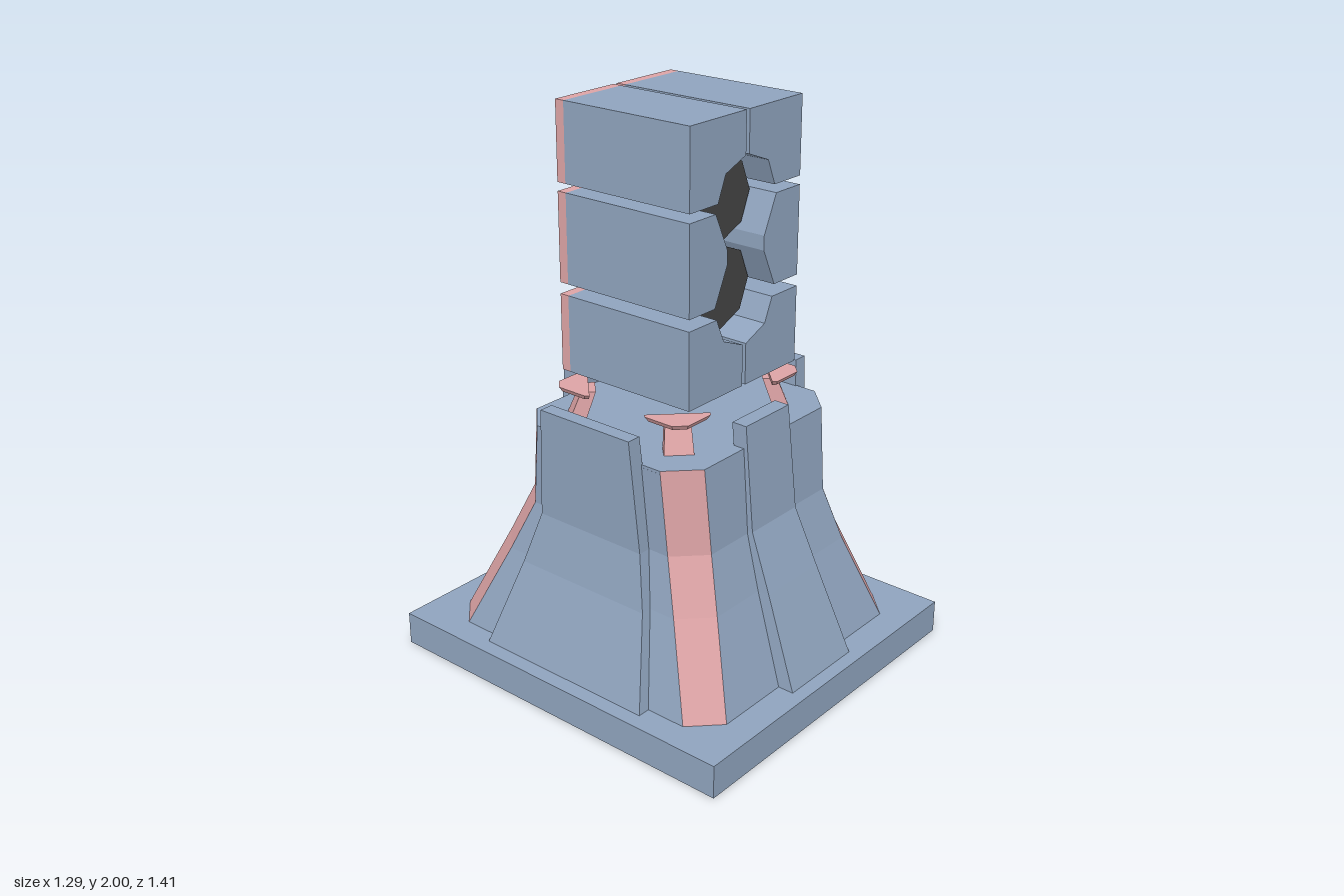
import * as THREE from 'three';

const mat = (color) => new THREE.MeshStandardMaterial({ color, flatShading: true, side: THREE.DoubleSide });

// Joins rings of [x, y, z] (counterclockwise from above) with walls; keep() picks the walls
function loft(rings, keep = () => true, caps = true) {
  const pos = [], n = rings[0].length;
  const tri = (...p) => p.forEach((q) => pos.push(...q));
  for (let r = 0; r < rings.length - 1; r++) {
    for (let i = 0; i < n; i++) {
      if (!keep(i)) continue;
      const j = (i + 1) % n, a = rings[r], b = rings[r + 1];
      tri(a[i], a[j], b[j]);
      tri(a[i], b[j], b[i]);
    }
  }
  if (caps) {
    const lo = rings[0], hi = rings[rings.length - 1];
    for (let i = 1; i < n - 1; i++) {
      tri(hi[0], hi[i], hi[i + 1]);
      tri(lo[0], lo[i + 1], lo[i]);
    }
  }
  const g = new THREE.BufferGeometry();
  g.setAttribute('position', new THREE.Float32BufferAttribute(pos, 3));
  g.computeVertexNormals();
  return g;
}

// Moves every edge of a counterclockwise outline inward by d
function inset(pts, d) {
  const n = pts.length;
  const line = (i) => {
    const a = pts[(i + n) % n], b = pts[(i + 1) % n];
    const t = b.clone().sub(a).normalize();
    return { p: new THREE.Vector2(a.x - t.y * d, a.y + t.x * d), t };
  };
  return pts.map((_, i) => {
    const A = line(i - 1), B = line(i);
    const s = B.p.clone().sub(A.p).cross(B.t) / A.t.cross(B.t);
    return A.p.clone().addScaledVector(A.t, s);
  });
}

export function createModel() {
  const model = new THREE.Group();
  const blue = mat(0x8fa3bd), pink = mat(0xdca3a5), dark = mat(0x444444);
  const add = (name, geo, material, parent = model) => {
    const m = new THREE.Mesh(geo, material);
    m.name = name;
    parent.add(m);
    return m;
  };

  // Base slab, open underneath
  const base = new THREE.BoxGeometry(1.29, 0.12, 1.41);
  const idx = Array.from(base.index.array);
  idx.splice(18, 6);
  base.setIndex(idx);
  base.clearGroups();
  add('base', base.translate(0, 0.06, 0), blue);

  // Flared pedestal with chamfered corners: y, half width, front z, back z
  const c = 0.1;
  const rings = [
    [0.12, 0.545, 0.597, -0.597], [0.43, 0.452, 0.48, -0.46],
    [0.62, 0.41, 0.42, -0.375], [0.92, 0.418, 0.395, -0.345],
  ].map(([y, x, f, b]) => [
    [c - x, y, f], [x - c, y, f], [x, y, f - c], [x, y, b + c],
    [x - c, y, b], [c - x, y, b], [-x, y, b + c], [-x, y, f - c],
  ]);
  add('pedestalWalls', loft(rings, (i) => i % 2 === 0, false), blue);
  add('pedestalCorners', loft(rings, (i) => i % 2 === 1, false), pink);
  add('pedestalTop', loft([rings[3].map(([x, y, z]) => [x, y - 0.01, z]), rings[3]], () => false), blue);

  // Raised panels on the four walls: y, outer, inner, half width, sideways shift
  const panel = (name, rows, place) => add(name, loft(rows.map(([y, out, inn, w, s = 0]) =>
    [[-w, out], [w, out], [w, inn], [-w, inn]].map(([u, r]) => {
      const [x, z] = place(u, r, s);
      return [x, y, z];
    }))), blue);
  panel('frontPanel', [[0.1, 0.663, 0.6, 0.167], [0.43, 0.525, 0.45, 0.135], [0.63, 0.44, 0.385, 0.12],
    [1.0, 0.402, 0.345, 0.115]], (u, r) => [u, r]);
  panel('backPanel', [[0.1, 0.663, 0.6, 0.167], [0.43, 0.51, 0.44, 0.135], [0.63, 0.435, 0.36, 0.12],
    [1.0, 0.405, 0.345, 0.115]], (u, r) => [-u, -r]);
  const sideRows = [[0.1, 0.596, 0.54, 0.355], [0.43, 0.49, 0.43, 0.27, 0.01],
    [0.62, 0.455, 0.395, 0.22, 0.02], [1.015, 0.47, 0.418, 0.192, 0.018]];
  panel('leftPanel', sideRows, (u, r, s) => [r, s - u]);
  panel('rightPanel', sideRows, (u, r, s) => [-r, s + u]);

  // Four corner brackets: slanted post and chamfered plate, turned to the corner
  const plateRing = (y, k) => [[-0.082, 0.07], [-0.07, 0.082], [0.045, 0.082], [0.082, 0.045],
    [0.082, -0.07], [0.07, -0.082]].map(([x, z]) => [x * k, y, z * k]);
  const postRing = (y, o, w, d) => [[-w, d], [w, d], [w, -d], [-w, -d]].map(([u, r]) =>
    [o + (r + u) * Math.SQRT1_2, y, o + (r - u) * Math.SQRT1_2]);
  for (const sx of [1, -1]) {
    for (const [sz, z] of [[1, 0.225], [-1, -0.178]]) {
      const bracket = new THREE.Group();
      bracket.name = 'cornerBracket';
      add('bracketPost', loft([postRing(0.91, 0.025, 0.05, 0.028), postRing(1.022, -0.005, 0.042, 0.025)]), pink, bracket);
      add('bracketPlate', loft([plateRing(1.02, 0.88), plateRing(1.037, 1)]), pink, bracket);
      bracket.position.set(sx * 0.248, 0, z);
      bracket.scale.set(sx, 1, sz);
      model.add(bracket);
    }
  }

  // Tower blocks cut around the two tubes, with rimmed recesses at the back
  const blocks = {
    upper: [[0.008, 2], [0.008, 1.857], [0.108, 1.818], [0.145, 1.73], [0.282, 1.73], [0.282, 2]],
    middle: [[0.155, 1.7], [0.095, 1.57], [0.095, 1.52], [0.155, 1.39], [0.282, 1.39], [0.282, 1.7]],
    lower: [[0.008, 1.225], [0.008, 1.08], [0.282, 1.08], [0.282, 1.35], [0.145, 1.35], [0.108, 1.266]],
  };
  const extrude = (shape, depth, z) =>
    new THREE.ExtrudeGeometry(shape, { depth, bevelEnabled: false }).translate(0, 0, z);
  for (const [name, outline] of Object.entries(blocks)) {
    for (const s of [1, -1]) {
      const pts = outline.map(([x, y]) => new THREE.Vector2(s * x, y));
      if (s < 0) pts.reverse();
      const inner = inset(pts, 0.022);
      const rim = new THREE.Shape(pts);
      rim.holes.push(new THREE.Path(inner));
      add(name + 'Block', extrude(new THREE.Shape(pts), 0.515, -0.215), blue);
      add(name + 'Rim', extrude(rim, 0.035, -0.25), pink);
      add(name + 'Recess', extrude(new THREE.Shape(inner), 0.01, -0.222), dark);
    }
  }

  // Two eight-sided tubes, closed in front and hollow at the back
  const profile = [[0, -0.2], [0.144, -0.2], [0.144, 0.31], [0.112, 0.31], [0.1, 0.12], [0, 0.12]]
    .map(([r, y]) => new THREE.Vector2(r, y));
  for (const y of [1.397, 1.697]) {
    add('tube', new THREE.LatheGeometry(profile, 8).rotateX(-Math.PI / 2).translate(0, y, 0), dark);
  }
  return model;
}
